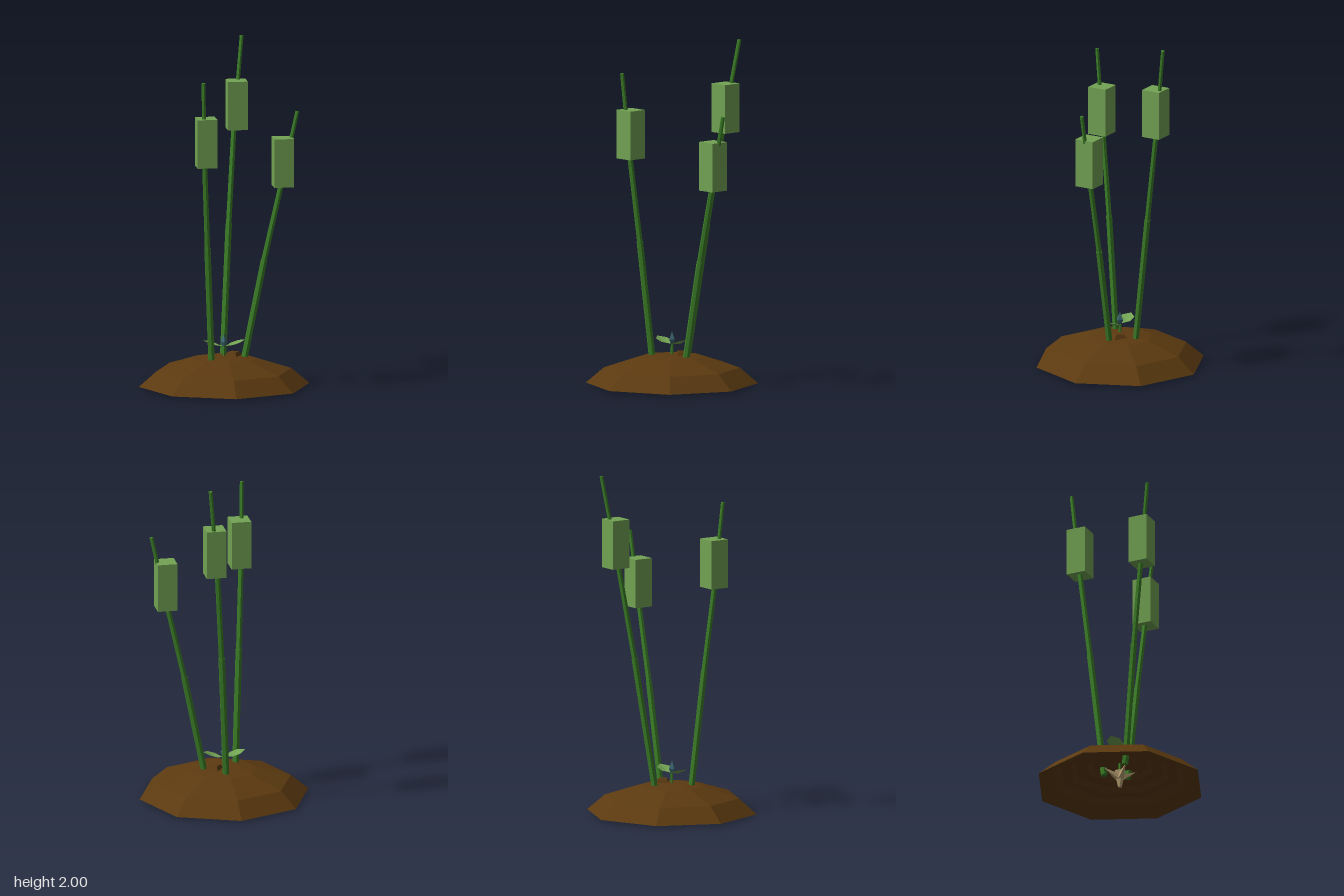
import * as THREE from 'three';

const mat = (name, color, side = THREE.FrontSide) => {
  const m = new THREE.MeshStandardMaterial({ color, side });
  m.name = name;
  return m;
};

// split faces so every facet gets its own normal
function faceted(geo) {
  const g = geo.index ? geo.toNonIndexed() : geo;
  g.computeVertexNormals();
  return g;
}

export function createModel() {
  const soil = mat('soil brown', 0x5c3a10, THREE.DoubleSide);
  const stemGreen = mat('stem green', 0x3c8028);
  const leafGreen = mat('leaf green', 0x73a353, THREE.DoubleSide);
  const budBlue = mat('bud blue', 0x3c6670);
  const seedTan = mat('seed tan', 0xc0a878);

  const model = new THREE.Group();
  const add = (name, geo, material, parent = model) => {
    const mesh = new THREE.Mesh(faceted(geo), material);
    mesh.name = name;
    parent.add(mesh);
    return mesh;
  };
  const lathe = pts => new THREE.LatheGeometry(pts.map(p => new THREE.Vector2(...p)), 8);

  // octagonal soil mound, hollow below with a stepped underside
  add('mound', lathe([[0.5, 0.01], [0.395, 0.1], [0.19, 0.165], [0.1, 0.177], [0, 0.18]]), soil);
  add('moundUnderside', lathe([[0.5, 0.01], [0.4, 0.05], [0.36, 0.09], [0.3, 0.09],
    [0.27, 0.12], [0.2, 0.12], [0.17, 0.145], [0, 0.15]]), soil);
  const clod = add('clod', new THREE.CylinderGeometry(0.035, 0.065, 0.04, 4), soil);
  clod.position.set(0.06, 0.18, -0.025);
  clod.rotation.y = 0.15;

  // tall reeds: bowed two-piece stem carrying an upright block head
  const reeds = [
    { path: [[-0.078, 0.1, 0.07], [-0.085, 0.17, 0.08], [-0.118, 0.84, 0.145], [-0.142, 1.33, 0.2], [-0.157, 1.83, 0.25]], head: [-0.134, 1.473, 0.203] },
    { path: [[0.008, 0.1, -0.105], [0.012, 0.17, -0.115], [0.06, 0.92, -0.222], [0.102, 1.46, -0.305], [0.16, 2.0, -0.387]], head: [0.12, 1.604, -0.314] },
    { path: [[0.105, 0.1, 0], [0.12, 0.17, 0], [0.235, 0.74, 0], [0.333, 1.17, 0], [0.43, 1.61, 0]], head: [0.345, 1.314, 0] },
  ];
  const up = new THREE.Vector3(0, 1, 0);
  for (const { path, head } of reeds) {
    const reed = new THREE.Group();
    reed.name = 'reed';
    model.add(reed);
    const p = path.map(a => new THREE.Vector3(...a));
    for (let i = 0; i < p.length - 1; i++) {
      const dir = p[i + 1].clone().sub(p[i]);
      const r = [0.02, 0.02, 0.017, 0.013];
      const geo = new THREE.CylinderGeometry(i < 3 ? r[i + 1] + 0.003 : 0.012, r[i], dir.length(), 6);
      const piece = add('stem', geo, stemGreen, reed);
      piece.position.copy(p[i]).addScaledVector(dir, 0.5);
      piece.quaternion.setFromUnitVectors(up, dir.normalize());
    }
    add('reedHead', new THREE.BoxGeometry(0.116, 0.285, 0.116), leafGreen, reed).position.set(...head);
  }

  // young sprout in the middle: stalk, bud and two spread leaves
  const sprout = new THREE.Group();
  sprout.name = 'sprout';
  model.add(sprout);
  add('sproutStalk', new THREE.CylinderGeometry(0.008, 0.01, 0.14, 5), stemGreen, sprout).position.y = 0.17;
  const bud = add('bud', new THREE.OctahedronGeometry(1), budBlue, sprout);
  bud.scale.set(0.022, 0.046, 0.022);
  bud.position.y = 0.265;
  for (const side of [1, -1]) {
    const leaf = new THREE.BufferGeometry();
    const pts = [[0.01, 0.238, 0], [0.045, 0.25, 0.043], [0.09, 0.265, 0.043],
      [0.125, 0.275, 0], [0.09, 0.265, -0.043], [0.045, 0.25, -0.043], [0.065, 0.244, 0]];
    leaf.setAttribute('position', new THREE.Float32BufferAttribute(
      pts.flatMap(([x, y, z]) => [x * side, y, z]), 3));
    const index = [];
    for (let i = 0; i < 6; i++) {
      const j = (i + 1) % 6;
      index.push(...(side > 0 ? [6, i, j] : [6, j, i]));
    }
    leaf.setIndex(index);
    add('sproutLeaf', leaf, leafGreen, sprout);
  }

  // seed under the mound with pointed roots
  const seed = add('seed', new THREE.CylinderGeometry(0.035, 0.012, 0.1, 6), seedTan);
  seed.position.y = 0.05;
  for (let i = 0; i < 4; i++) {
    const a = i * Math.PI / 2 + Math.PI / 4;
    const dir = new THREE.Vector3(Math.cos(a), 0.55, Math.sin(a)).normalize();
    const root = add('root', new THREE.ConeGeometry(0.024, 0.11, 4), seedTan);
    root.position.set(0, 0.055, 0).addScaledVector(dir, 0.06);
    root.quaternion.setFromUnitVectors(up, dir);
  }
  return model;
}
